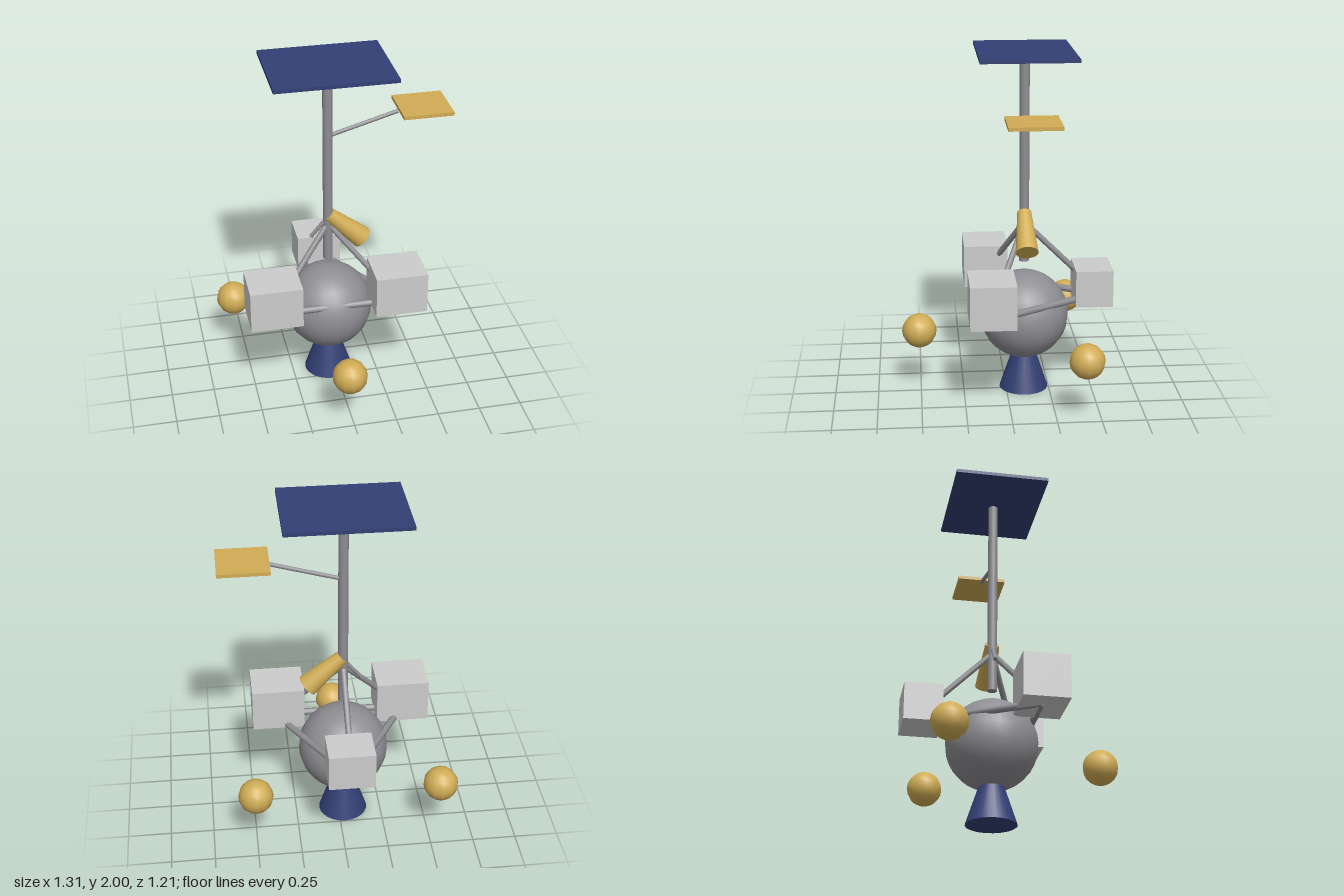
import * as THREE from 'three';

const MID_X = -0.03, MID_Z = -0.105; // vertical axis of the craft

const paint = (color) => new THREE.MeshStandardMaterial({ color });
const metal = paint(0x8e8e93), pale = paint(0xcccccc), gold = paint(0xd0ac55), blue = paint(0x333f75);

export function createModel() {
  const model = new THREE.Group();

  const add = (name, geometry, material, x = 0, y = 0, z = 0) => {
    const mesh = new THREE.Mesh(geometry, material);
    mesh.name = name;
    mesh.position.set(x, y, z);
    model.add(mesh);
    return mesh;
  };

  // Straight rod or tapered tube between two points
  const rod = (name, from, to, r0, r1 = r0, material = metal, sides = 8) => {
    const a = new THREE.Vector3(...from), b = new THREE.Vector3(...to);
    const dir = b.clone().sub(a);
    const mid = a.clone().add(b).multiplyScalar(0.5);
    const mesh = add(name, new THREE.CylinderGeometry(r1, r0, dir.length(), sides), material, mid.x, mid.y, mid.z);
    mesh.quaternion.setFromUnitVectors(new THREE.Vector3(0, 1, 0), dir.normalize());
    return mesh;
  };

  // Body, nozzle and mast
  add('body', new THREE.SphereGeometry(0.258, 20, 16), metal, MID_X, 0.457, MID_Z);
  rod('nozzle', [MID_X, 0, MID_Z], [MID_X, 0.21, MID_Z], 0.142, 0.072, blue, 24);
  rod('mast', [MID_X, 0.78, MID_Z], [MID_X, 1.97, MID_Z], 0.028, 0.028, metal, 12);

  // Flat panels and the side arm
  add('topPanel', new THREE.BoxGeometry(0.68, 0.02, 0.535), blue, MID_X, 1.99, MID_Z);
  add('sidePanel', new THREE.BoxGeometry(0.285, 0.02, 0.285), gold, 0.51, 1.705, MID_Z);
  rod('sideArm', [MID_X, 1.57, MID_Z], [0.37, 1.685, MID_Z], 0.012);

  // Tilted telescope with its counter rod
  rod('telescope', [-0.025, 1.07, MID_Z], [0.172, 0.892, MID_Z], 0.04, 0.065, gold, 20);
  rod('counterRod', [MID_X, 1.05, MID_Z], [-0.13, 0.932, MID_Z], 0.012);

  // Equipment boxes, each held by a strut from the mast
  const boxes = [
    { name: 'rightBox', size: [0.3, 0.25, 0.257], at: [-0.39, 0.675, 0.103], foot: [-0.27, 0.73, 0.035] },
    { name: 'leftBox', size: [0.3, 0.25, 0.257], at: [0.335, 0.675, 0.103], foot: [0.21, 0.73, 0.035] },
    { name: 'rearBox', size: [0.26, 0.215, 0.215], at: [-0.025, 0.638, -0.5], foot: [MID_X, 0.65, -0.47] },
  ];
  for (const { name, size, at, foot } of boxes) {
    add(name, new THREE.BoxGeometry(...size), pale, ...at);
    rod(name + 'Strut', [MID_X, 1.01, MID_Z], foot, 0.017);
  }

  // Triangular frame joining the boxes
  const corners = [[-0.41, 0.565, 0.1], [0.355, 0.565, 0.1], [MID_X, 0.565, -0.54]];
  corners.forEach((c, i) => rod('frameRod', c, corners[(i + 1) % 3], 0.02));

  // Loose balls around the body
  for (const [x, z] of [[MID_X, 0.505], [0.5, -0.41], [-0.56, -0.41]]) {
    add('ball', new THREE.SphereGeometry(0.1, 12, 10), gold, x, 0.365, z);
  }

  return model;
}
